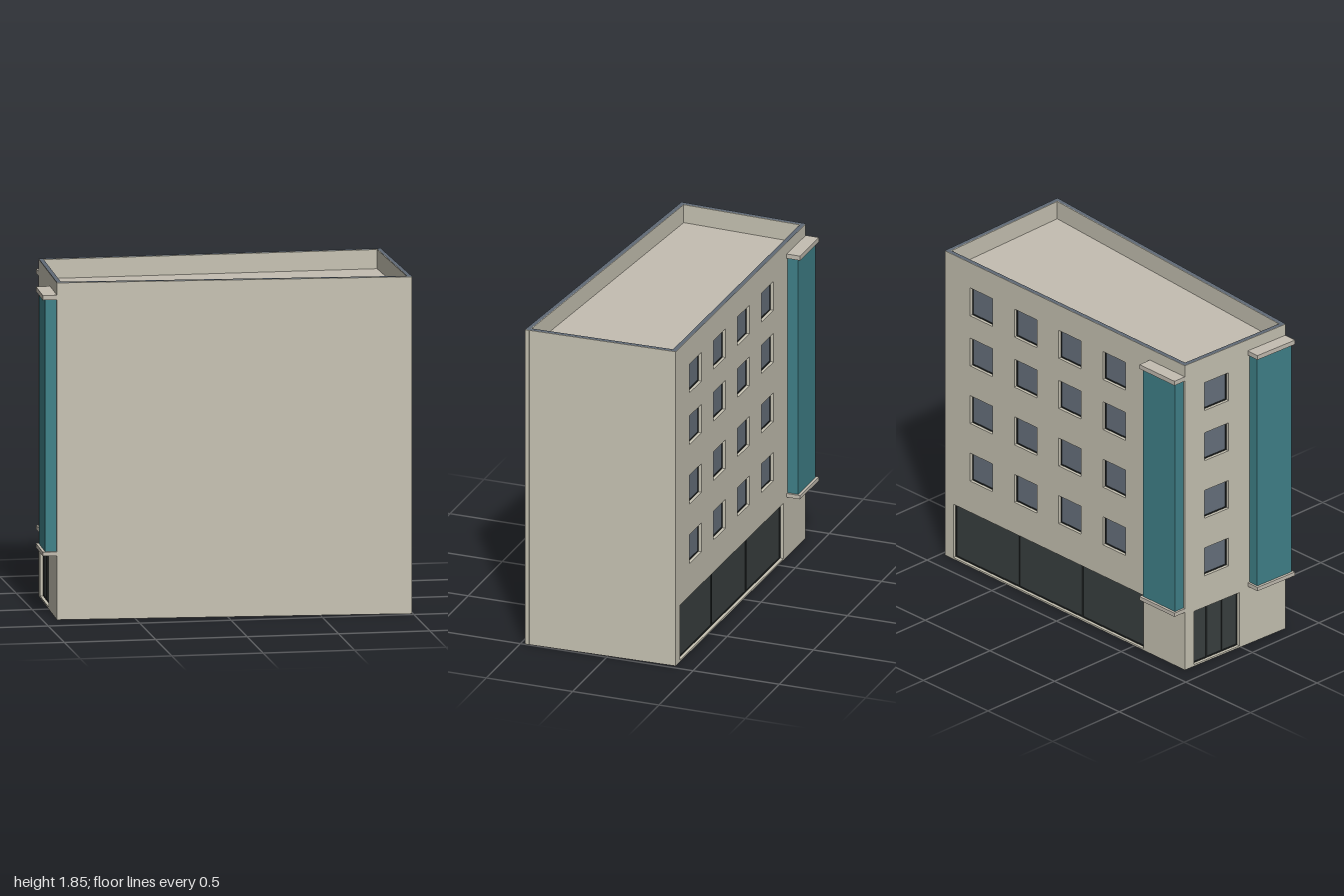
import * as THREE from 'three';

const HEIGHT = 1.845, ROOF_Y = 1.74, THICK = 0.025;

const material = (name, color, side = THREE.FrontSide) => {
  const m = new THREE.MeshStandardMaterial({ color, side });
  m.name = name;
  return m;
};

export function createModel() {
  const model = new THREE.Group();
  model.name = 'cornerBuilding';

  const render = material('wall render', 0xc8c4b4, THREE.DoubleSide);
  const concrete = material('pale concrete', 0xc4beb2, THREE.DoubleSide);
  const coping = material('slate coping', 0x606a76, THREE.DoubleSide);
  const teal = material('teal cladding', 0x40828a);
  const glass = material('window glass', 0x68727e);
  const shopGlass = material('dark shop glass', 0x3a4040);
  const frame = material('dark frame', 0x262a2a);

  const add = (parent, name, geometry, mat) => {
    const mesh = new THREE.Mesh(geometry, mat);
    mesh.name = name;
    parent.add(mesh);
    return mesh;
  };

  // Box given by its range on each axis
  const box = (parent, name, mat, [x0, x1], [y0, y1], [z0, z1]) => {
    const mesh = add(parent, name, new THREE.BoxGeometry(x1 - x0, y1 - y0, z1 - z0), mat);
    mesh.position.set((x0 + x1) / 2, (y0 + y1) / 2, (z0 + z1) / 2);
  };

  // Slightly skewed footprint, as [x, z] corners, in order back, side, front, side
  const outer = [[0.975, -0.39], [-0.895, -0.405], [-0.922, 0.325], [0.995, 0.475]];
  const inner = [[0.953, -0.366], [-0.872, -0.381], [-0.897, 0.302], [0.97, 0.45]];
  const toPoints = (list) => list.map(([x, z]) => new THREE.Vector2(x, -z));

  const rectangle = ([x0, x1], [y0, y1]) => [
    new THREE.Vector2(x0, y0), new THREE.Vector2(x1, y0),
    new THREE.Vector2(x1, y1), new THREE.Vector2(x0, y1),
  ];

  // Wall with openings; local x runs along it, local z points outwards
  function makeWall(name, index, openings) {
    const [x0, z0] = outer[index];
    const [x1, z1] = outer[(index + 1) % 4];
    const length = Math.hypot(x1 - x0, z1 - z0);
    const group = new THREE.Group();
    group.name = name;
    group.position.set(x0, 0, z0);
    group.rotation.y = Math.atan2(z0 - z1, x1 - x0);
    model.add(group);

    const shape = new THREE.Shape(rectangle([0, length], [0, HEIGHT]));
    for (const o of openings) shape.holes.push(new THREE.Path(rectangle(o.u, o.v)));
    const geometry = new THREE.ExtrudeGeometry(shape, { depth: THICK, bevelEnabled: false });
    geometry.translate(0, 0, -THICK);
    add(group, name + 'Panel', geometry, render);

    // Recessed glazing with a slim frame
    for (const { u, v, shop } of openings) {
      const w = 0.006, z = [-0.024, -0.017];
      box(group, shop ? 'shopGlazing' : 'windowGlass', shop ? shopGlass : glass, u, v, [-0.027, -0.021]);
      box(group, 'frameSide', frame, [u[0], u[0] + w], v, z);
      box(group, 'frameSide', frame, [u[1] - w, u[1]], v, z);
      box(group, 'frameTop', frame, u, [v[1] - w, v[1]], z);
      box(group, 'frameBottom', frame, u, [v[0], v[0] + w], z);
      for (let i = 1; shop && i < 3; i++) {
        const c = u[0] + (u[1] - u[0]) * i / 3;
        box(group, 'mullion', frame, [c - 0.005, c + 0.005], v, z);
      }
    }
    return group;
  }

  // Four storeys of windows for each column centre
  const sills = [0.522, 0.871, 1.22, 1.524];
  const windows = (centres) => centres.flatMap((c) =>
    sills.map((y) => ({ u: [c - 0.088, c + 0.088], v: [y, y + 0.169] })));

  // Clad bay between two slabs
  function addBay(wall, [u0, u1]) {
    box(wall, 'bayCladding', teal, [u0 + 0.012, u1 - 0.012], [0.37, 1.755], [-0.01, 0.062]);
    box(wall, 'baySlabBottom', concrete, [u0, u1], [0.35, 0.372], [-0.01, 0.077]);
    box(wall, 'baySlabTop', concrete, [u0, u1], [1.752, 1.778], [-0.01, 0.077]);
  }

  const back = makeWall('backWall', 0, [
    { u: [0.065, 1.547], v: [0.01, 0.333], shop: true },
    ...windows([0, 1, 2, 3].map((i) => 0.283 + 0.3455 * i)),
  ]);
  addBay(back, [1.597, 1.87]);

  const side = makeWall('rightWall', 1, [
    { u: [0.065, 0.395], v: [0.01, 0.333], shop: true },
    ...windows([0.23]),
  ]);
  addBay(side, [0.457, 0.73]);

  makeWall('frontWall', 2, []);
  makeWall('leftWall', 3, []);

  // Sunken roof and the capping on top of the parapet
  const roof = add(model, 'roof', new THREE.ShapeGeometry(new THREE.Shape(toPoints(inner))), concrete);
  roof.rotation.x = -Math.PI / 2;
  roof.position.y = ROOF_Y;

  const capShape = new THREE.Shape(toPoints(outer));
  capShape.holes.push(new THREE.Path(toPoints(inner)));
  const cap = add(model, 'parapetCoping', new THREE.ShapeGeometry(capShape), coping);
  cap.rotation.x = -Math.PI / 2;
  cap.position.y = HEIGHT + 0.002;

  return model;
}
